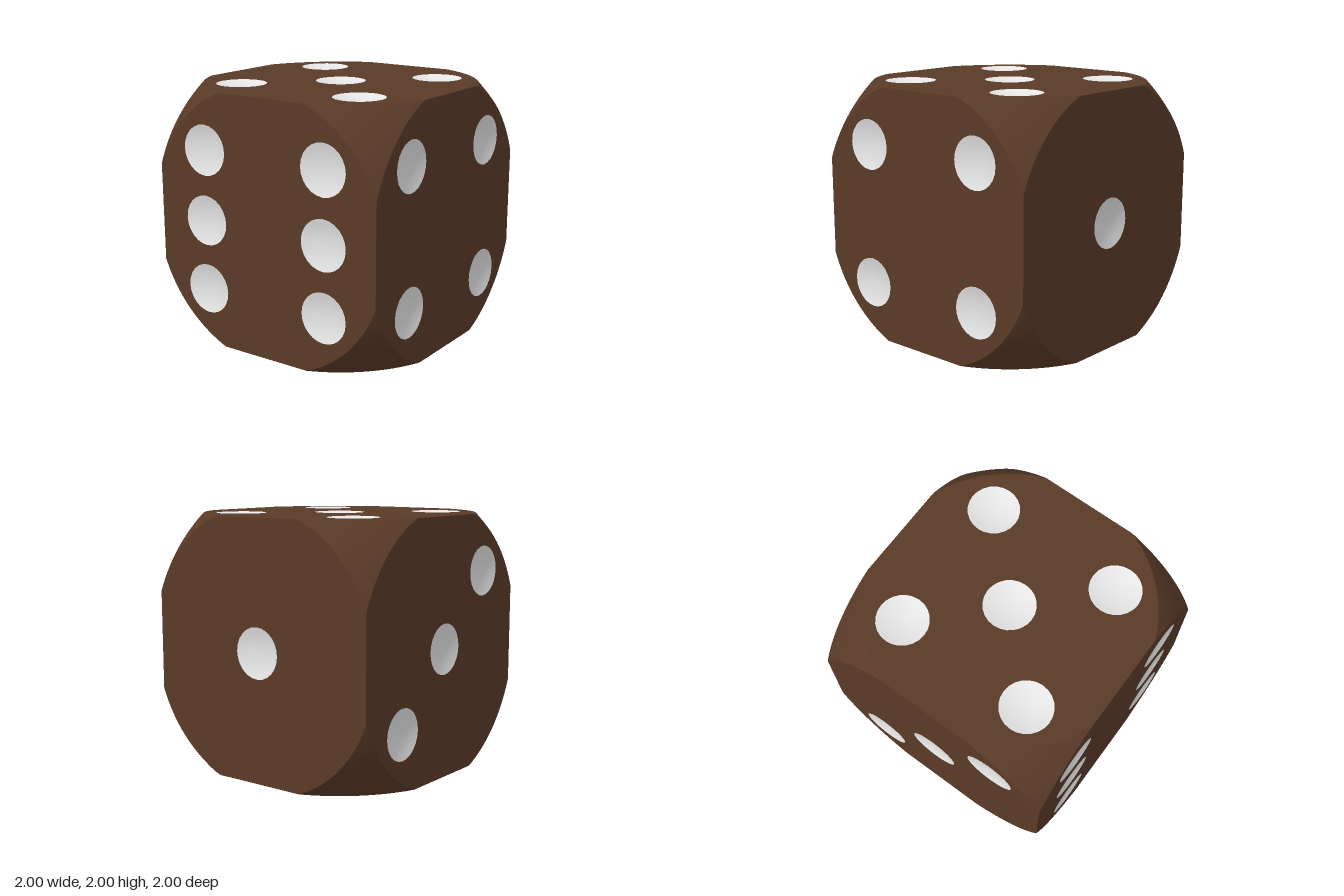
import * as THREE from 'three';

const H = 0.39;                       // half length of the straight edge left on each side
const RHO = Math.hypot(1, H);         // radius of the round face outline
const R = Math.hypot(1, RHO);         // radius of the sphere that trims the corners
const ARC = 20;                       // segments of each corner arc
const PIP = 0.197, DEPTH = 0.03, P = 0.55, SIDES = 24;

// Arc cutting one corner of a face, in the face's own plane
const arc = [];
for (let i = 0; i <= ARC; i++) {
  const a0 = Math.atan(H);
  const a = a0 + (Math.PI / 2 - 2 * a0) * i / ARC;
  arc.push(new THREE.Vector2(RHO * Math.cos(a), RHO * Math.sin(a)));
}

// Flat face with a hole for each pip
function faceGeometry(pips) {
  const outline = [];
  for (let q = 0; q < 4; q++) {
    for (const p of arc) outline.push(p.clone().rotateAround(new THREE.Vector2(), q * Math.PI / 2));
  }
  const shape = new THREE.Shape(outline);
  for (const [x, y] of pips) {
    const ring = [];
    for (let i = 0; i < SIDES; i++) {
      const a = -i / SIDES * Math.PI * 2;
      ring.push(new THREE.Vector2(x + PIP * Math.cos(a), y + PIP * Math.sin(a)));
    }
    shape.holes.push(new THREE.Path(ring));
  }
  return new THREE.ShapeGeometry(shape);
}

// Shallow spherical bowl, opening towards +z
function pipGeometry() {
  const r = (PIP * PIP + DEPTH * DEPTH) / (2 * DEPTH);
  const max = Math.asin(PIP / r);
  const profile = [];
  for (let i = 0; i <= 6; i++) {
    const a = max * (1 - i / 6);
    profile.push(new THREE.Vector2(r * Math.sin(a), r - DEPTH - r * Math.cos(a)));
  }
  return new THREE.LatheGeometry(profile, SIDES).rotateX(Math.PI / 2);
}

// Spherical corner patch: three fans from the corner's middle to the face arcs
function cornerGeometry(sx, sy, sz) {
  const rows = 8, pos = [], nor = [], index = [];
  const flip = sx * sy * sz < 0;
  const middle = new THREE.Vector3(1, 1, 1).setLength(R);
  for (let f = 0; f < 3; f++) {
    const base = pos.length / 3;
    for (let i = 0; i <= ARC; i++) {
      const c = [arc[i].x, arc[i].y, 1];
      const edge = new THREE.Vector3(c[f], c[(f + 1) % 3], c[(f + 2) % 3]);
      for (let j = 0; j <= rows; j++) {
        const v = middle.clone().lerp(edge, j / rows).setLength(R);
        v.set(v.x * sx, v.y * sy, v.z * sz);
        pos.push(v.x, v.y, v.z);
        nor.push(v.x / R, v.y / R, v.z / R);
      }
    }
    for (let i = 0; i < ARC; i++) {
      for (let j = 0; j < rows; j++) {
        const a = base + i * (rows + 1) + j, b = a + rows + 1;
        const tris = j ? [[a, b, b + 1], [a, b + 1, a + 1]] : [[a, b + 1, a + 1]];
        for (const [p, q, s] of tris) index.push(p, flip ? s : q, flip ? q : s);
      }
    }
  }
  const g = new THREE.BufferGeometry();
  g.setAttribute('position', new THREE.Float32BufferAttribute(pos, 3));
  g.setAttribute('normal', new THREE.Float32BufferAttribute(nor, 3));
  g.setIndex(index);
  return g;
}

export function createModel() {
  const brown = new THREE.MeshStandardMaterial({ color: 0x5a3a27 });
  brown.name = 'brown';
  const white = new THREE.MeshStandardMaterial({ color: 0xe7e7e7 });
  white.name = 'white';

  const model = new THREE.Group();
  model.name = 'die';
  const add = (parent, name, geometry, material) => {
    const mesh = new THREE.Mesh(geometry, material);
    mesh.name = name;
    parent.add(mesh);
    return mesh;
  };

  // Pip layouts and face rotations
  const diagonal = [[P, P], [-P, -P]];
  const four = [...diagonal, [P, -P], [-P, P]];
  const q = Math.PI / 2;
  const faces = [
    ['frontFace', 0, 0, [...four, [P, 0], [-P, 0]]],
    ['backFace', 0, 2 * q, [[0, 0]]],
    ['leftFace', 0, q, four],
    ['rightFace', 0, -q, [...diagonal, [0, 0]]],
    ['topFace', -q, 0, [...four, [0, 0]]],
    ['bottomFace', q, 0, diagonal],
  ];
  const bowl = pipGeometry();
  for (const [name, rx, ry, pips] of faces) {
    const side = new THREE.Group();
    side.name = name;
    side.rotation.set(rx, ry, 0);
    add(side, 'facePlate', faceGeometry(pips), brown).position.z = 1;
    for (const [x, y] of pips) add(side, 'pip', bowl, white).position.set(x, y, 1);
    model.add(side);
  }

  // Rounded corners
  for (const x of [-1, 1]) for (const y of [-1, 1]) for (const z of [-1, 1]) {
    add(model, 'corner', cornerGeometry(x, y, z), brown);
  }

  // Stand the die on the ground
  for (const child of model.children) child.position.y += 1;
  return model;
}
